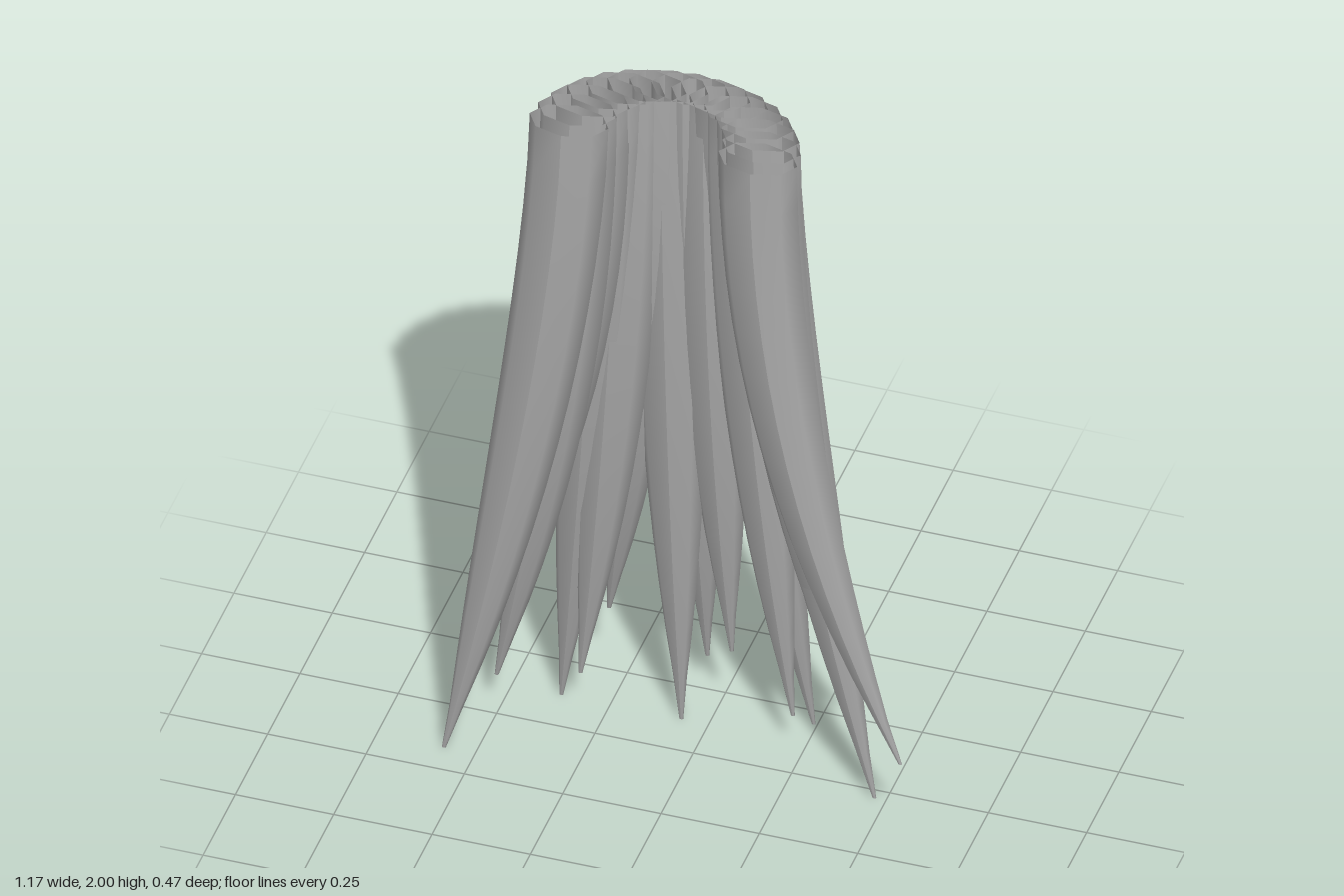
import * as THREE from 'three';

// Tip of each lock, left to right along the arc: [x, y, z]
const TIPS = [
  [-0.58, 0, 0.165], [-0.5, 0.12, 0], [-0.535, 0.23, 0.03], [-0.375, 0, -0.12], [-0.31, 0.12, -0.07],
  [-0.28, 0.23, -0.2], [-0.07, 0, -0.12], [-0.04, 0.12, -0.23], [0.055, 0.23, -0.13], [0.24, 0, -0.2],
  [0.23, 0.12, -0.07], [0.37, 0.23, -0.12], [0.47, 0, 0.03], [0.44, 0.12, 0], [0.58, 0.23, 0.165],
];
const TOP = 2;
const HALF_WIDTH = 0.1, HALF_DEPTH = 0.063;

// One tapered lock: an open oval tube that drifts from its root to its tip
function lockGeometry(angle, tip, bend) {
  const geo = new THREE.CylinderGeometry(1, 1, 1, 8, 14, true);
  const rootX = -0.02 + 0.24 * Math.cos(angle);
  const rootZ = 0.17 - 0.21 * Math.sin(angle);
  const pos = geo.attributes.position;
  for (let i = 0; i < pos.count; i++) {
    const t = 0.5 - pos.getY(i);
    const width = Math.max(0.05, 1 - Math.pow(t, 2.7));
    const drift = Math.pow(t, bend);
    pos.setXYZ(i,
      rootX + (tip[0] - rootX) * drift + pos.getX(i) * HALF_WIDTH * width,
      TOP + (tip[1] - TOP) * t,
      rootZ + (tip[2] - rootZ) * drift + pos.getZ(i) * HALF_DEPTH * width);
  }
  geo.computeVertexNormals();
  return geo;
}

export function createModel() {
  const model = new THREE.Group();
  model.name = 'hair';
  const hairGrey = new THREE.MeshStandardMaterial({ color: 0xa8a8a8, side: THREE.DoubleSide });
  hairGrey.name = 'hairGrey';

  // Locks fanned around the back in a half ring
  TIPS.forEach((tip, i) => {
    const angle = Math.PI * (1 - i / (TIPS.length - 1));
    const lock = new THREE.Mesh(lockGeometry(angle, tip, 1.5 + 0.25 * (i % 3)), hairGrey);
    lock.name = `hairLock${i + 1}`;
    model.add(lock);
  });
  return model;
}
